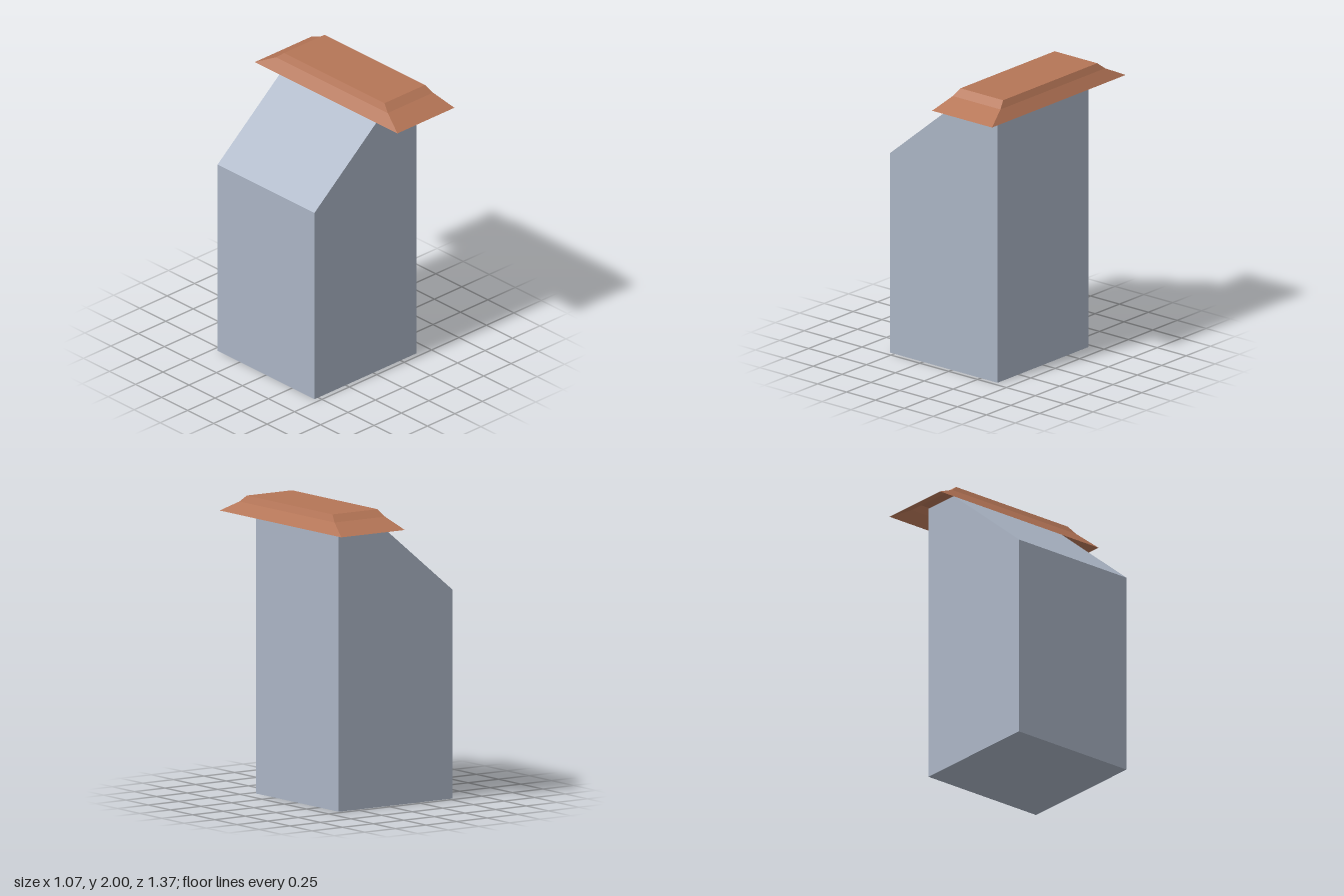
import * as THREE from 'three';

// Stepped rectangular shell from rings of [y, xMin, xMax, zHalf], closed on top and open below
function hipShell(rings) {
  const corners = rings.map(([y, x0, x1, z]) => [[x1, y, z], [x1, y, -z], [x0, y, -z], [x0, y, z]]);
  const pos = [];
  const quad = (a, b, c, d) => pos.push(...a, ...b, ...c, ...a, ...c, ...d);
  for (let i = 0; i < corners.length - 1; i++) {
    const low = corners[i], high = corners[i + 1];
    for (let k = 0; k < 4; k++) {
      const n = (k + 1) % 4;
      quad(low[k], low[n], high[n], high[k]);
    }
  }
  quad(...corners[corners.length - 1]);
  const geo = new THREE.BufferGeometry();
  geo.setAttribute('position', new THREE.Float32BufferAttribute(pos, 3));
  geo.computeVertexNormals();
  return geo;
}

export function createModel() {
  const model = new THREE.Group();
  model.name = 'slopedShaft';

  const stone = new THREE.MeshStandardMaterial({ color: 0xaab4c4 });
  stone.name = 'blueGreyWall';
  const clay = new THREE.MeshStandardMaterial({ color: 0xb57556, side: THREE.DoubleSide });
  clay.name = 'terracotta';

  // Shaft: side profile with one sloping shoulder, extruded along z
  const depth = 0.93;
  const profile = new THREE.Shape([
    [-0.535, 0], [0.394, 0], [0.394, 1.955], [0.134, 1.955], [-0.535, 1.4],
  ].map(([x, y]) => new THREE.Vector2(x, y)));
  const shaftGeo = new THREE.ExtrudeGeometry(profile, { depth, bevelEnabled: false });
  shaftGeo.translate(0, 0, -depth / 2);
  const shaft = new THREE.Mesh(shaftGeo, stone);
  shaft.name = 'shaft';
  model.add(shaft);

  // Flared cap: thin two-step hipped cover with an open underside
  const cap = new THREE.Mesh(hipShell([
    [1.88, 0.013, 0.532, 0.685],
    [1.955, 0.066, 0.479, 0.536],
    [2.0, 0.088, 0.457, 0.482],
  ]), clay);
  cap.name = 'flaredCap';
  model.add(cap);

  return model;
}
